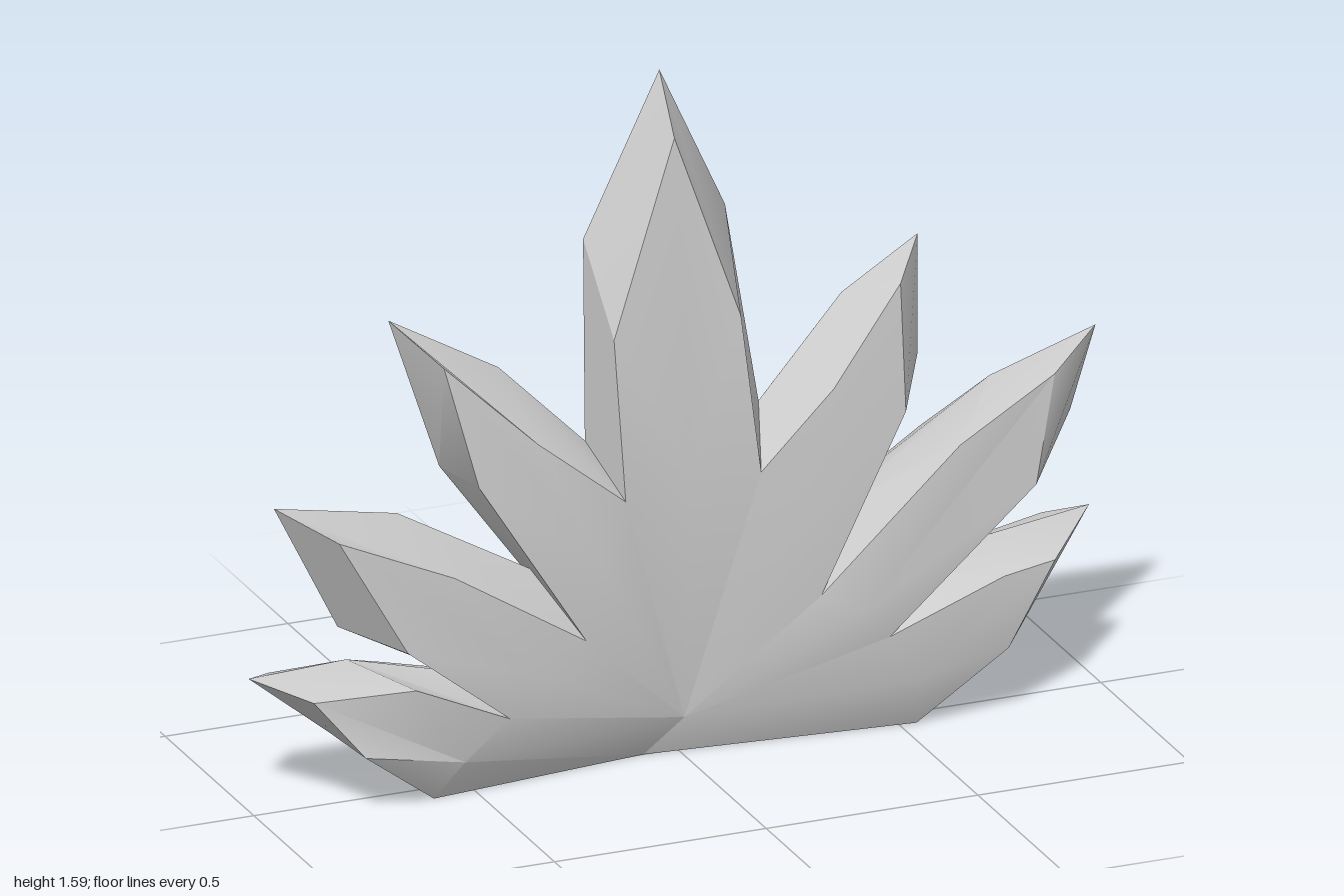
import * as THREE from 'three';
import { toCreasedNormals } from 'three/addons/utils/BufferGeometryUtils.js';

const material = new THREE.MeshStandardMaterial({ color: 0xcccccc });

// Valleys between shards, from the model's left round to its right.
// The first and last are the ends of the flat base.
const valleys = [
  { front: [0.54, 0, 0.06], rim: [0.51, 0.015, -0.04], back: [0.48, 0.03, -0.14] },
  { front: [0.45, 0.24, 0.125], rim: [0.53, 0.33, -0.02], back: [0.51, 0.31, -0.09] },
  { front: [0.29, 0.36, 0.12], rim: [0.38, 0.5, -0.02], back: [0.37, 0.475, -0.09] },
  { front: [0.15, 0.67, 0.115], rim: [0.2, 0.78, -0.02], back: [0.16, 0.67, -0.09] },
  { front: [-0.17, 0.65, 0.115], rim: [-0.21, 0.75, -0.02], back: [-0.175, 0.64, -0.09] },
  { front: [-0.265, 0.34, 0.12], rim: [-0.34, 0.47, -0.02], back: [-0.31, 0.42, -0.09] },
  { front: [-0.45, 0.19, 0.13], rim: [-0.53, 0.26, -0.02], back: [-0.48, 0.23, -0.09] },
  { front: [-0.6, 0, 0.06], rim: [-0.57, 0.015, -0.04], back: [-0.54, 0.03, -0.14] },
];

// Each shard: shoulder, tip, shoulder on the rim and on the front facet;
// z = depth of the front shoulders, the front apex and the front ridge
const shards = [
  { name: 'lowLeftShard', rim: [[0.77, 0.205], [0.985, 0.41], [0.77, 0.38]],
    front: [[0.73, 0.17], [0.84, 0.36], [0.72, 0.34]], z: [0.125, 0.125, 0.12],
    lowerBack: [0.81, 0.24, -0.14] },
  { name: 'middleLeftShard', rim: [[0.94, 0.64], [1.0, 0.83], [0.75, 0.75]],
    front: [[0.8, 0.54], [0.86, 0.775], [0.62, 0.66]], z: [0.115, 0.075, 0.14] },
  { name: 'upperLeftShard', rim: [[0.58, 0.83], [0.58, 1.11], [0.4, 1.0]],
    front: [[0.5, 0.75], [0.5, 1.04], [0.33, 0.83]], z: [0.095, 0.065, 0.125] },
  { name: 'centreShard', rim: [[0.125, 1.25], [-0.03, 1.59], [-0.21, 1.22]],
    front: [[0.115, 1.03], [-0.03, 1.46], [-0.185, 1.02]], z: [0.085, 0.055, 0.105] },
  { name: 'upperRightShard', rim: [[-0.41, 0.95], [-0.67, 1.1], [-0.55, 0.74]],
    front: [[-0.37, 0.81], [-0.58, 1.01], [-0.51, 0.73]], z: [0.1, 0.07, 0.125] },
  { name: 'middleRightShard', rim: [[-0.65, 0.645], [-0.94, 0.7], [-0.79, 0.4]],
    front: [[-0.58, 0.54], [-0.84, 0.65], [-0.69, 0.38]], z: [0.13, 0.1, 0.14] },
  { name: 'lowRightShard', rim: [[-0.77, 0.32], [-1.0, 0.31], [-0.81, 0.155]],
    front: [[-0.67, 0.29], [-0.9, 0.285], [-0.79, 0.15]], z: [0.13, 0.1, 0.12],
    lowerBack: [-0.8, 0.165, -0.14] },
];

const frontHub = [0, 0.09, 0.04];
const baseFront = [-0.08, 0, 0];
const backHub = [-0.07, 0.03, -0.115];
const at = ([x, y], z) => [x, y, z];

// Ridge point on a facet, just beyond the midpoint of its two valleys
const ridge = (a, b, k, z) => [(a[0] + b[0]) * k / 2, (a[1] + b[1]) * k / 2, z];

// Point on the back facet: shrunk towards the root and pulled in to the shard's axis
function backPoint(p, tip, pull) {
  const t = (p[0] * tip[0] + p[1] * tip[1]) / (tip[0] ** 2 + tip[1] ** 2);
  const x = p[0] + (tip[0] * t - p[0]) * pull;
  const y = p[1] + (tip[1] * t - p[1]) * pull;
  return [x * 0.83, y * 0.83, -0.14];
}

function makeMesh(name, triangles) {
  const geometry = new THREE.BufferGeometry();
  geometry.setAttribute('position', new THREE.Float32BufferAttribute(triangles.flat(2), 3));
  const mesh = new THREE.Mesh(toCreasedNormals(geometry, 0.5), material);
  mesh.name = name;
  return mesh;
}

// Triangles from a centre to a closed loop
const fan = (centre, loop) => loop.map((p, i) => [centre, p, loop[(i + 1) % loop.length]]);

// Quads between two open chains
function strip(a, b) {
  const out = [];
  for (let i = 0; i < a.length - 1; i++) {
    out.push([a[i], b[i], b[i + 1]], [a[i], b[i + 1], a[i + 1]]);
  }
  return out;
}

function makeShard(shard, start, end) {
  const tip = shard.rim[1];
  const front = [start.front, ...shard.front.map((p, i) => at(p, shard.z[i % 2])), end.front];
  const rim = [start.rim, ...shard.rim.map((p) => at(p, -0.03)), end.rim];
  const back = [start.back, ...shard.rim.map((p, i) => backPoint(p, tip, i === 1 ? 0 : 0.2)), end.back];
  const frontLoop = [frontHub, ...front];

  // The outermost shards have a flat lower side, a shallower back apex,
  // and a front facet that runs down to the base edge
  if (shard.lowerBack) {
    const left = tip[0] > 0;
    back[left ? 1 : 3] = shard.lowerBack;
    back[2] = [tip[0] * 0.92, tip[1] * 0.91, -0.11];
    frontLoop.splice(left ? 1 : frontLoop.length, 0, baseFront);
  }

  return makeMesh(shard.name, [
    ...fan(ridge(start.front, end.front, 1.05, shard.z[2]), frontLoop),
    ...strip(front, rim),
    ...strip(rim, back),
    ...fan(ridge(start.back, end.back, 1.1, -0.14), [...back].reverse().concat([backHub])),
  ]);
}

export function createModel() {
  const group = new THREE.Group();
  group.name = 'crystalCluster';
  shards.forEach((shard, i) => group.add(makeShard(shard, valleys[i], valleys[i + 1])));

  // Underside, closing the cut end of the cluster
  const [left, right] = [valleys[0], valleys[7]];
  group.add(makeMesh('underside',
    strip([right.front, baseFront, left.front], [right.back, backHub, left.back])));
  return group;
}
